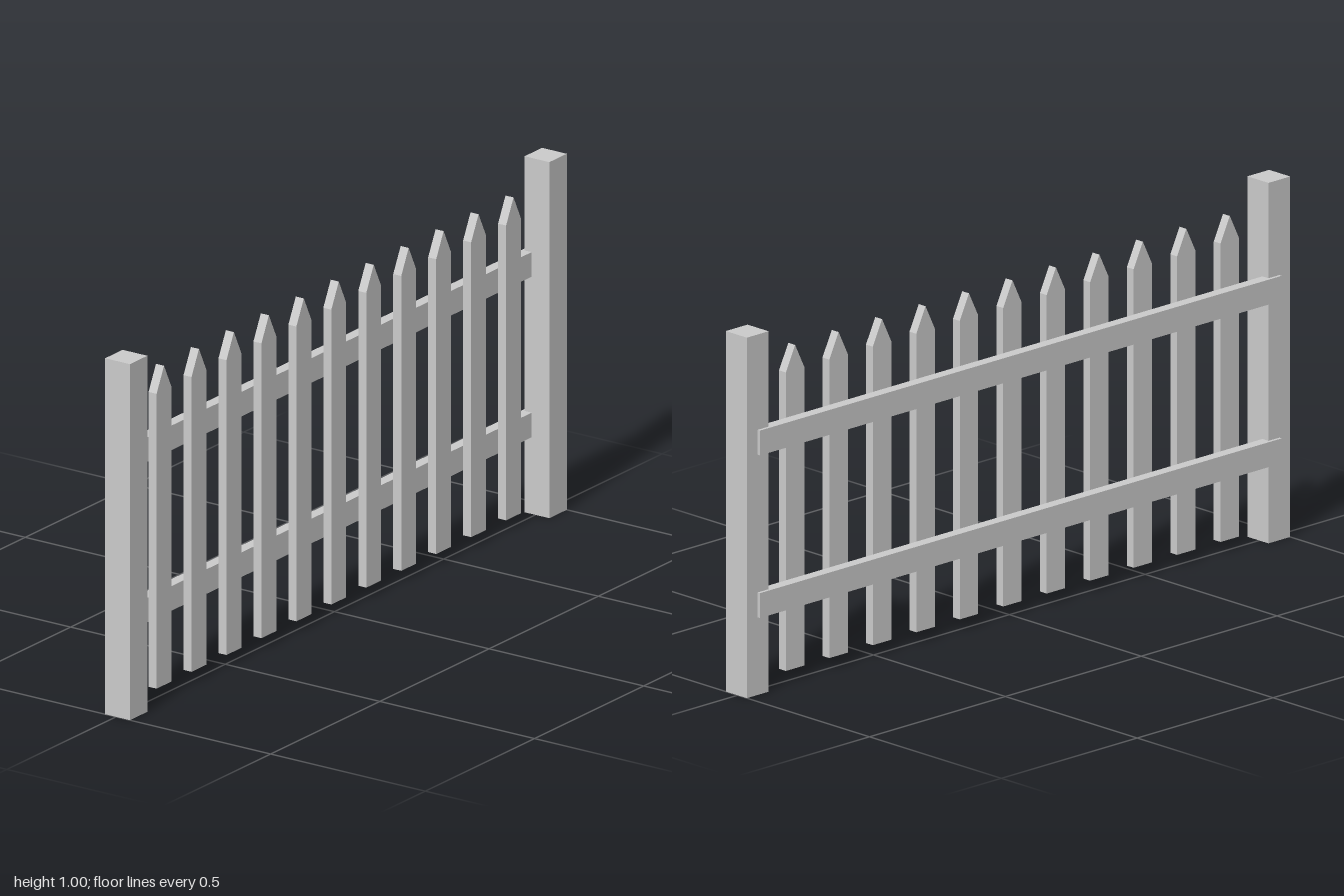
import * as THREE from 'three';

export function createModel() {
  const fence = new THREE.Group();
  fence.name = 'picketFence';
  const wood = new THREE.MeshStandardMaterial({ color: 0xcccccc, flatShading: true });

  const add = (name, geometry, x, y, z) => {
    const mesh = new THREE.Mesh(geometry, wood);
    mesh.name = name;
    mesh.position.set(x, y, z);
    fence.add(mesh);
  };

  // Square end posts
  const post = new THREE.BoxGeometry(0.08, 1, 0.08);
  add('leftPost', post, 0.96, 0.5, 0.005);
  add('rightPost', post, -0.96, 0.5, 0.005);

  // Horizontal rails, let into the back of the posts
  const rail = new THREE.BoxGeometry(1.92, 0.069, 0.032);
  add('lowerRail', rail, 0, 0.25, -0.028);
  add('upperRail', rail, 0, 0.701, -0.028);

  // Pointed pickets in front of the rails
  const half = 0.034;
  const outline = new THREE.Shape([
    new THREE.Vector2(-half, 0),
    new THREE.Vector2(half, 0),
    new THREE.Vector2(half, 0.828),
    new THREE.Vector2(0, 0.897),
    new THREE.Vector2(-half, 0.828),
  ]);
  const picket = new THREE.ExtrudeGeometry(outline, { depth: 0.026, bevelEnabled: false });
  for (let i = -5; i <= 5; i++) add(`picket${i + 6}`, picket, i * 0.16, 0.033, -0.012);

  return fence;
}
